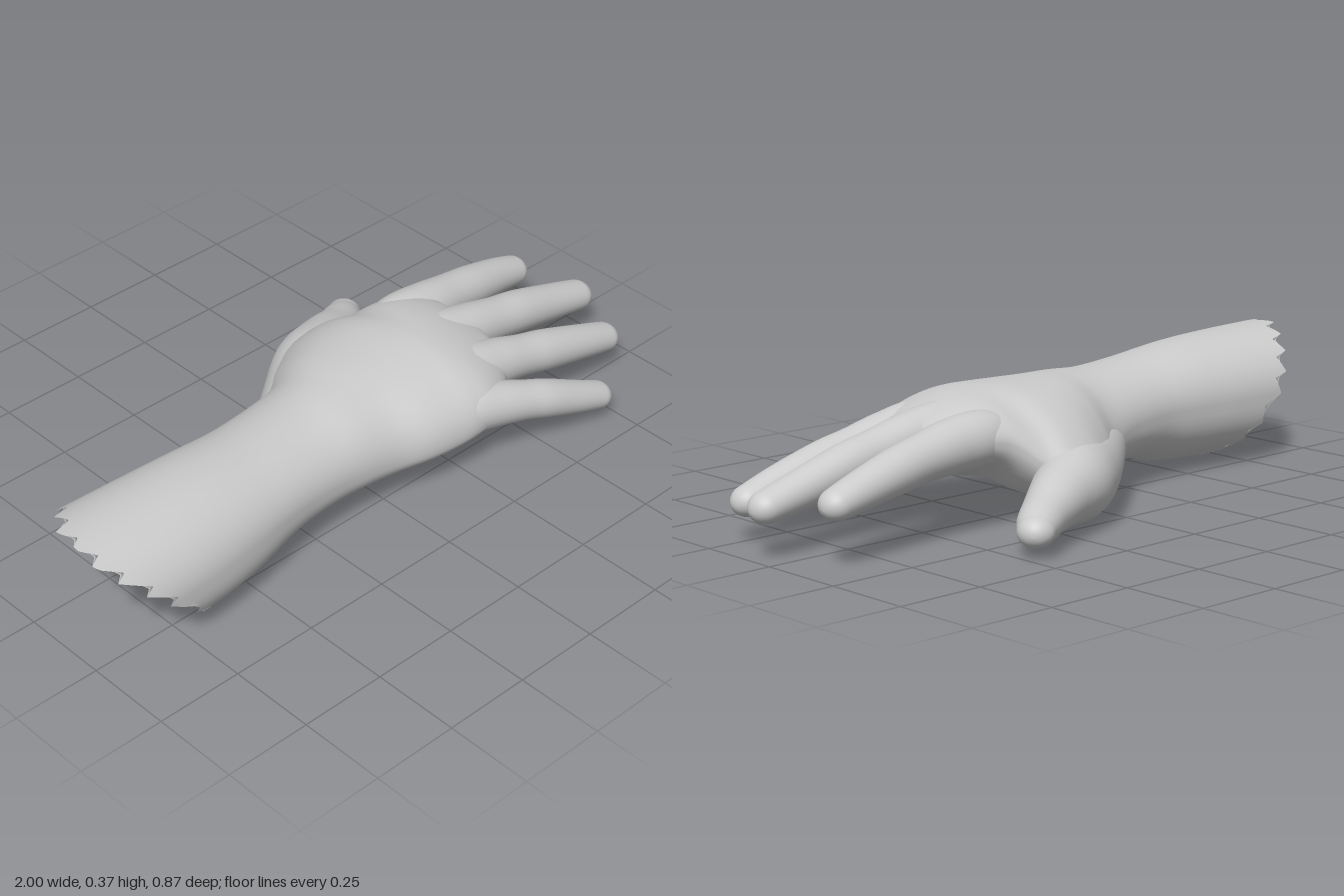
import * as THREE from 'three';

const SKIN = new THREE.MeshStandardMaterial({ color: 0xcccccc, side: THREE.DoubleSide });

// Catmull-Rom blend of rows of numbers, t from 0 to 1
function sample(rows, t) {
  const n = rows.length - 1;
  const k = Math.min(Math.floor(t * n), n - 1);
  const f = t * n - k;
  const row = (i) => rows[Math.max(0, Math.min(n, i))];
  const [p, q, r, s] = [row(k - 1), row(k), row(k + 1), row(k + 2)];
  return q.map((v, c) => v + 0.5 * f * (r[c] - p[c]
    + f * (2 * p[c] - 5 * v + 4 * r[c] - s[c] + f * (3 * (v - r[c]) + s[c] - p[c]))));
}

// Smooth bump of height 1 around a centre
const bump = (v, centre, width) => Math.exp(-(((v - centre) / width) ** 2));

// Skin over rings of points; every ring runs back, top, front, bottom
function loft(name, rings) {
  const sides = rings[0].length;
  const index = [];
  for (let j = 0; j < rings.length - 1; j++) {
    for (let i = 0; i < sides; i++) {
      const i2 = (i + 1) % sides;
      const a = j * sides + i, b = j * sides + i2;
      index.push(a, b, a + sides, b, b + sides, a + sides);
    }
  }
  const geometry = new THREE.BufferGeometry().setFromPoints(rings.flat());
  geometry.setIndex(index);
  geometry.computeVertexNormals();
  const mesh = new THREE.Mesh(geometry, SKIN);
  mesh.name = name;
  return mesh;
}

// Forearm, wrist and palm: x, zBack, zFront, yTop, yBottom, yBackEdge, yFrontEdge
const ARM = [
  [-1.00, -0.055, 0.370, 0.372, 0.015, 0.20, 0.20],
  [-0.80, -0.050, 0.360, 0.368, 0.020, 0.20, 0.20],
  [-0.60, -0.045, 0.340, 0.360, 0.028, 0.20, 0.20],
  [-0.40, -0.045, 0.315, 0.342, 0.052, 0.20, 0.20],
  [-0.22, -0.068, 0.300, 0.335, 0.065, 0.19, 0.19],
  [-0.10, -0.115, 0.303, 0.342, 0.056, 0.16, 0.18],
  [0.00, -0.205, 0.315, 0.348, 0.048, 0.14, 0.17],
  [0.10, -0.280, 0.345, 0.350, 0.052, 0.13, 0.17],
  [0.19, -0.288, 0.360, 0.352, 0.066, 0.135, 0.17],
  [0.26, -0.225, 0.365, 0.350, 0.085, 0.175, 0.18],
  [0.33, -0.172, 0.358, 0.340, 0.112, 0.235, 0.19],
  [0.41, -0.145, 0.305, 0.318, 0.150, 0.25, 0.20],
  [0.48, -0.100, 0.220, 0.285, 0.190, 0.25, 0.22],
  [0.50, 0.040, 0.080, 0.250, 0.240, 0.245, 0.245],
];

function armAndPalm() {
  const rings = [];
  const count = 100, sides = 72, bend = -0.3;
  for (let j = 0; j <= count; j++) {
    const [x, z0, z1, top, bottom, back, front] = sample(ARM, j / count);
    const ring = [];
    for (let i = 0; i < sides; i++) {
      const a = (i / sides) * Math.PI * 2;
      const c = Math.cos(a), s = Math.sin(a);
      const z = (z0 + z1) / 2 - c * (z1 - z0) / 2;
      const mid = (back + front) / 2;
      let y = mid + c * (back - front) / 2;
      if (s > 0) {
        // the back of the hand falls away towards the thumb
        y += s ** (1 + 0.7 * Math.max(0, c) * bump(x, 0.1, 0.17)) * (top - mid);
      } else {
        // flat underside with a hollow in the palm
        y -= Math.abs(s) ** 0.75 * (mid - bottom);
        y -= s * 0.04 * bump(x, 0.2, 0.14) * bump(z, 0.04, 0.08);
      }
      let px = x;
      // slanted open end, stepped like torn cloth
      if (x < bend) {
        const cut = -1 + 0.36 * Math.max(0, (0.372 - y) / 0.355) ** 1.4
          + 0.4 * Math.max(0, 0.15 - z) * Math.max(0, s + 0.6)
          + 0.4 * Math.max(0, z - 0.28);
        px = bend + (x - bend) * (cut - bend) / (-1 - bend);
        if (j === 0) px += 0.014 * (i % 4) - 0.015;
      }
      ring.push(new THREE.Vector3(Math.max(px, -1), y, z));
    }
    rings.push(ring);
  }
  return loft('forearmAndPalm', rings);
}

// Finger along a path of x, y, z, radius, flattening towards a round tip
function finger(name, path) {
  const rings = [];
  const sides = 28, count = 48, cap = 10;
  const up = new THREE.Vector3(0, 1, 0);
  const at = (t) => new THREE.Vector3(...sample(path, t));
  for (let j = 0; j <= count + cap; j++) {
    const t = Math.min(1, j / count);
    const turn = Math.max(0, j - count) / cap * Math.PI / 2;
    const along = at(Math.min(1, t + 0.01)).sub(at(Math.max(0, t - 0.01))).normalize();
    const side = new THREE.Vector3().crossVectors(up, along).normalize();
    const normal = new THREE.Vector3().crossVectors(along, side);
    const r = sample(path, t)[3];
    const centre = at(t).addScaledVector(along, r * Math.sin(turn));
    const radius = Math.max(1e-4, r * Math.cos(turn));
    const thickness = radius * (1 - 0.13 * t ** 4);
    rings.push(Array.from({ length: sides }, (_, i) => {
      const a = (i / sides) * Math.PI * 2;
      return centre.clone()
        .addScaledVector(side, radius * Math.cos(a))
        .addScaledVector(normal, thickness * Math.sin(a));
    }));
  }
  return loft(name, rings);
}

const FINGERS = {
  indexFinger: [
    [0.24, 0.245, -0.070, 0.050], [0.36, 0.247, -0.078, 0.074], [0.47, 0.240, -0.080, 0.073],
    [0.58, 0.226, -0.090, 0.064], [0.68, 0.208, -0.100, 0.061], [0.80, 0.182, -0.113, 0.054],
    [0.877, 0.163, -0.119, 0.049],
  ],
  middleFinger: [
    [0.24, 0.255, 0.058, 0.050], [0.36, 0.253, 0.063, 0.075], [0.48, 0.241, 0.070, 0.070],
    [0.60, 0.219, 0.072, 0.062], [0.70, 0.199, 0.071, 0.061], [0.84, 0.163, 0.069, 0.055],
    [0.951, 0.135, 0.069, 0.050],
  ],
  ringFinger: [
    [0.20, 0.235, 0.182, 0.050], [0.33, 0.233, 0.200, 0.074], [0.45, 0.217, 0.215, 0.067],
    [0.55, 0.197, 0.225, 0.059], [0.64, 0.176, 0.232, 0.059], [0.77, 0.142, 0.240, 0.053],
    [0.878, 0.110, 0.242, 0.048],
  ],
  littleFinger: [
    [0.14, 0.195, 0.256, 0.050], [0.25, 0.196, 0.288, 0.071], [0.35, 0.183, 0.320, 0.064],
    [0.44, 0.164, 0.346, 0.056], [0.51, 0.144, 0.363, 0.055], [0.61, 0.108, 0.381, 0.049],
    [0.690, 0.080, 0.391, 0.045],
  ],
  // includes the fleshy ball of the thumb
  thumb: [
    [-0.20, 0.170, 0.030, 0.060], [-0.07, 0.140, -0.045, 0.095], [0.06, 0.117, -0.130, 0.113],
    [0.17, 0.116, -0.220, 0.105], [0.28, 0.108, -0.282, 0.082], [0.37, 0.090, -0.329, 0.065],
    [0.425, 0.078, -0.362, 0.058], [0.460, 0.070, -0.389, 0.050],
  ],
};

export function createModel() {
  const hand = new THREE.Group();
  hand.name = 'handAndForearm';
  hand.add(armAndPalm());
  for (const [name, path] of Object.entries(FINGERS)) hand.add(finger(name, path));
  return hand;
}
